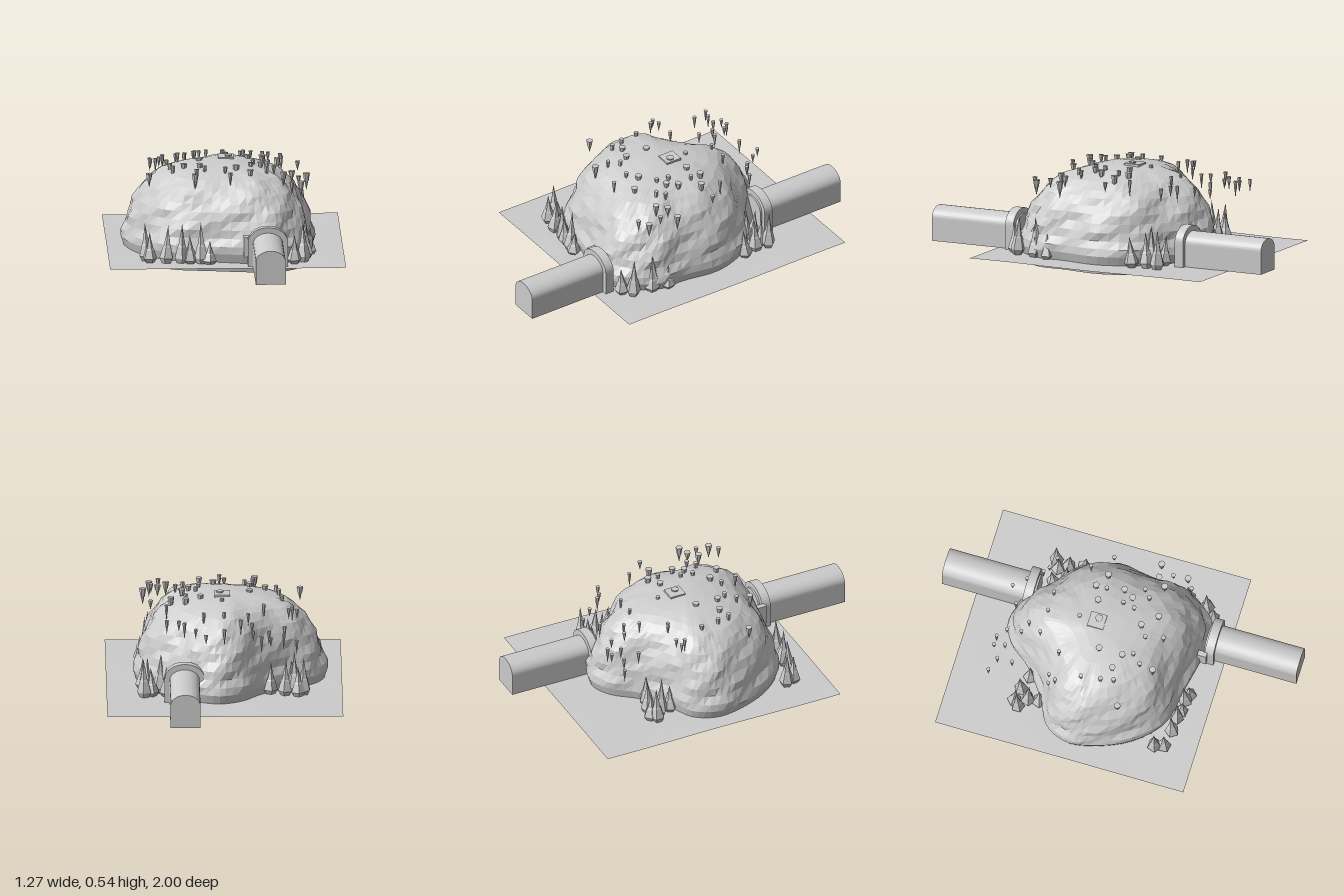
import * as THREE from 'three';

const stone = new THREE.MeshStandardMaterial({ color: 0xcccccc, flatShading: true, side: THREE.DoubleSide });
stone.name = 'grey stone';

function add(parent, name, geometry, x = 0, y = 0, z = 0) {
  const mesh = new THREE.Mesh(geometry, stone);
  mesh.name = name;
  mesh.position.set(x, y, z);
  parent.add(mesh);
  return mesh;
}

// Hill: a lobed footprint scaled up through a rounded height profile
function hillGeometry() {
  const cx = -0.03, cz = -0.05, segs = 72;
  const footprint = new THREE.CatmullRomCurve3([
    [0.49, -0.1], [0.465, 0.13], [0.46, 0.28], [0.39, 0.4], [0.29, 0.48], [0.14, 0.48],
    [-0.08, 0.44], [-0.31, 0.39], [-0.46, 0.24], [-0.55, 0.02], [-0.56, -0.1], [-0.5, -0.22],
    [-0.37, -0.29], [-0.21, -0.41], [-0.1, -0.54], [0.02, -0.59], [0.16, -0.54], [0.27, -0.43],
    [0.41, -0.31],
  ].map(([x, z]) => new THREE.Vector3(x - cx, 0, z - cz)), true);
  const profile = [
    [0.95, 0], [0.97, 0.05], [1, 0.1], [0.99, 0.14], [0.95, 0.18], [0.935, 0.225], [0.9, 0.27],
    [0.87, 0.315], [0.82, 0.355], [0.77, 0.395], [0.7, 0.43], [0.61, 0.465], [0.5, 0.488],
    [0.37, 0.505], [0.22, 0.517], [0.1, 0.522], [0.001, 0.523],
  ];
  const pos = [], index = [];
  profile.forEach(([s, y], r) => {
    for (let i = 0; i < segs; i++) {
      const p = footprint.getPoint(i / segs);
      const a = (i / segs) * Math.PI * 2;
      const rough = y > 0.1 && y < 0.5
        ? 0.012 * Math.sin(a * 9 + y * 31) + 0.008 * Math.sin(a * 17 - y * 47) : 0;
      pos.push(cx + p.x * (s + rough), y, cz + p.z * (s + rough));
      if (r === 0) continue;
      const j = (i + 1) % segs, lo = (r - 1) * segs, hi = r * segs;
      index.push(lo + i, hi + i, lo + j, lo + j, hi + i, hi + j);
    }
  });
  // Footprint runs from +x towards +z, so reverse the corners to face outwards
  const g = new THREE.BufferGeometry();
  g.setAttribute('position', new THREE.Float32BufferAttribute(pos, 3));
  g.setIndex(index);
  g.computeVertexNormals();
  return g;
}

// Arched outline with its foot on y = 0
function arch(path, halfWidth, springY, topY) {
  path.moveTo(-halfWidth, 0);
  path.lineTo(halfWidth, 0);
  path.lineTo(halfWidth, springY);
  path.absellipse(0, springY, halfWidth, topY - springY, 0, Math.PI, false, 0);
  path.lineTo(-halfWidth, 0);
  return path;
}

function extrude(shape, depth) {
  return new THREE.ExtrudeGeometry(shape, { depth, bevelEnabled: false, curveSegments: 10 });
}

function createTree(height, radius, sides = 5) {
  const points = [[0, 0], [0.6, 0], [1, 0.14], [0.62, 0.42], [0.5, 0.46], [0.2, 0.76], [0, 1]];
  return new THREE.LatheGeometry(
    points.map(([r, y]) => new THREE.Vector2(r * radius, y * height)), sides);
}

export function createModel() {
  const model = new THREE.Group();
  model.name = 'hill with tunnel';

  add(model, 'hill', hillGeometry());

  // Gently uneven ground sheet
  const ground = new THREE.PlaneGeometry(1.275, 1.4, 16, 16).rotateX(-Math.PI / 2);
  const gp = ground.attributes.position;
  for (let i = 0; i < gp.count; i++) {
    gp.setY(i, 0.002 * Math.sin(gp.getX(i) * 7) * Math.cos(gp.getZ(i) * 6));
  }
  ground.computeVertexNormals();
  add(model, 'ground', ground, -0.002, 0.052, -0.105);

  // Tunnel tubes and portals at both ends
  const tunnelX = 0.215;
  const tube = extrude(arch(new THREE.Shape(), 0.081, 0.125, 0.185), 0.52);
  const ringShape = arch(new THREE.Shape(), 0.108, 0.135, 0.215);
  ringShape.holes.push(arch(new THREE.Path(), 0.081, 0.125, 0.185));
  const ring = extrude(ringShape, 0.05);
  add(model, 'frontTunnel', tube, tunnelX, 0.05, 0.48);
  add(model, 'backTunnel', tube, tunnelX, 0.05, -1);
  add(model, 'frontPortal', ring, tunnelX, 0.05, 0.49);
  add(model, 'backPortal', ring, tunnelX, 0.05, -0.54);
  add(model, 'portalWing', new THREE.BoxGeometry(0.03, 0.11, 0.05), 0.1, 0.15, 0.48);

  // Spire trees around the foot: x, z, height
  const footTrees = [
    [-0.435, 0.37, 0.21], [-0.42, 0.42, 0.17], [-0.33, 0.44, 0.21], [-0.25, 0.44, 0.22],
    [-0.2, 0.45, 0.16], [-0.14, 0.46, 0.23], [-0.1, 0.47, 0.13],
    [0.42, 0.29, 0.22], [0.43, 0.31, 0.17], [0.41, 0.42, 0.22], [0.36, 0.46, 0.16], [0.45, 0.22, 0.14],
    [-0.43, -0.4, 0.21], [-0.4, -0.43, 0.17], [-0.38, -0.36, 0.23], [-0.33, -0.41, 0.2],
    [-0.25, -0.385, 0.18], [-0.37, -0.3, 0.16],
    [0.43, -0.44, 0.22], [0.42, -0.37, 0.2], [0.35, -0.36, 0.22], [0.31, -0.42, 0.17],
    [0.39, -0.42, 0.16], [0.44, -0.29, 0.17],
  ];
  const foot = new THREE.Group();
  foot.name = 'footTrees';
  model.add(foot);
  footTrees.forEach(([x, z, h], i) => {
    const t = add(foot, 'footTree', createTree(h, 0.04), x, 0.05, z);
    t.rotation.set(0.05 * Math.sin(i * 2), i * 1.7, 0.05 * Math.cos(i * 3));
  });

  // Small tapering spikes over the hill, flat end up: x, z pairs
  const spikes = [
    -0.39, -0.58, -0.32, -0.55, -0.25, -0.59, -0.2, -0.59, -0.155, -0.545, -0.325, -0.465,
    -0.24, -0.53, -0.15, -0.465, 0, -0.54, 0.1, -0.59, -0.09, -0.44, -0.13, -0.365, 0, -0.36,
    0.11, -0.36, 0.155, -0.525, 0.215, -0.45, 0.245, -0.425, 0.31, -0.4, -0.37, -0.21,
    -0.35, -0.25, -0.215, -0.235, -0.395, -0.24, 0.01, -0.185, 0.125, -0.115, 0.205, -0.09,
    0.285, -0.105, 0.395, -0.105, 0.205, -0.15, -0.315, -0.08, -0.14, -0.03, -0.3, 0.025,
    -0.225, 0.07, -0.285, 0.095, -0.14, 0.1, -0.115, 0.155, -0.415, 0.155, -0.16, 0.205,
    -0.17, 0.28, -0.005, 0.19, 0.055, 0.15, 0.135, 0.085, 0.225, 0.005, 0.15, 0.02, 0.19, 0.06,
    0.22, 0.145, 0.13, 0.225, 0.02, 0.285, 0.31, 0.205, 0.26, 0.11, 0.435, 0.15, 0.39, 0.23,
    0.4, 0.31, 0.35, 0.345, 0.355, 0.16, 0.31, -0.21,
  ];
  const spikeGroup = new THREE.Group();
  spikeGroup.name = 'hillSpikes';
  model.add(spikeGroup);
  for (let i = 0; i < spikes.length; i += 2) {
    const x = spikes[i], z = spikes[i + 1];
    const r = z < -0.2 ? 0.011 : 0.013 + 0.003 * (i % 4);
    const h = 0.075 + 0.02 * Math.sin(i * 1.3);
    const top = 0.535 - 0.25 * (x * x + z * z);
    const s = new THREE.LatheGeometry([[0, -h], [0.5 * r, -0.5 * h], [0.65 * r, -0.45 * h], [r, 0], [0, 0]]
      .map(([px, py]) => new THREE.Vector2(px, py)), 6);
    add(spikeGroup, 'hillSpike', s, x, top, z).rotation.y = i;
  }

  // Square slab with a small stump on the summit
  add(model, 'summitSlab', new THREE.BoxGeometry(0.085, 0.02, 0.09), 0.007, 0.52, -0.085);
  add(model, 'summitStump', new THREE.CylinderGeometry(0.022, 0.016, 0.02, 6), 0.02, 0.528, -0.078);

  return model;
}
